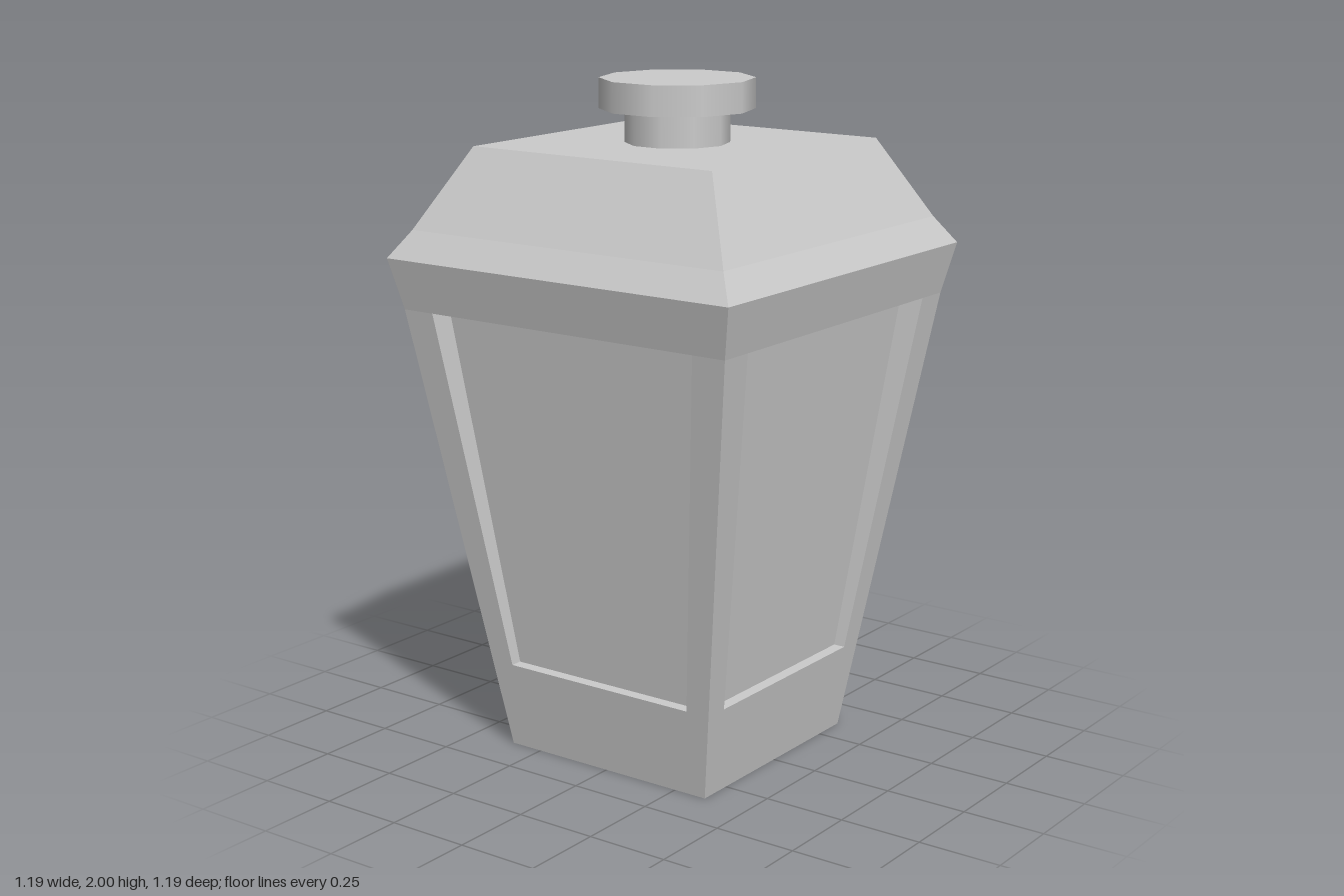
import * as THREE from 'three';

const material = new THREE.MeshStandardMaterial({ color: 0xcccccc, flatShading: true });
const smooth = new THREE.MeshStandardMaterial({ color: 0xcccccc });

// Flat-shaded mesh from four-cornered faces, corners counter-clockwise from outside
function quadMesh(name, quads) {
  const points = quads.flatMap(([a, b, c, d]) => [a, b, c, a, c, d]);
  const geometry = new THREE.BufferGeometry();
  geometry.setAttribute('position', new THREE.Float32BufferAttribute(points.flat(), 3));
  geometry.computeVertexNormals();
  const mesh = new THREE.Mesh(geometry, material);
  mesh.name = name;
  return mesh;
}

// Trapezoid corners: bottom left, bottom right, top right, top left
const trapezoid = ([w0, y0, z0], [w1, y1, z1]) =>
  [[-w0, y0, z0], [w0, y0, z0], [w1, y1, z1], [-w1, y1, z1]];

// Quad joining edge i of one loop to edge i of another
const bridge = (a, b, i) => [a[i], a[(i + 1) % 4], b[(i + 1) % 4], b[i]];

// Square levels of the body: half width, height
const foot = [0.355, 0], sill = [0.56, 1.35], eave = [0.593, 1.5], knee = [0.54, 1.58], crown = [0.414, 1.815];
const band = (lo, hi) => trapezoid([...lo, lo[0]], [...hi, hi[0]]);

function createSide() {
  const side = new THREE.Group();
  const face = band(foot, sill);
  const opening = trapezoid([0.32, 0.27, 0.396], [0.455, 1.35, 0.56]);
  const pane = trapezoid([0.32, 0.27, 0.36], [0.455, 1.35, 0.486]);
  side.add(
    quadMesh('frame', [...[0, 1, 3].map(i => bridge(face, opening, i)), band(sill, eave)]),
    quadMesh('windowReveal', [0, 1, 2, 3].map(i => bridge(opening, pane, i))),
    quadMesh('windowPane', [pane]),
    quadMesh('roofSlope', [band(eave, knee), band(knee, crown)]),
  );
  return side;
}

// Ten-sided disc with a corner on the x axis
function disc(name, radius, y0, y1) {
  const geometry = new THREE.CylinderGeometry(radius, radius, y1 - y0, 10);
  geometry.rotateY(Math.PI / 2);
  const mesh = new THREE.Mesh(geometry, smooth);
  mesh.position.y = (y0 + y1) / 2;
  mesh.name = name;
  return mesh;
}

export function createModel() {
  const model = new THREE.Group();
  model.name = 'lantern';

  // Four identical sides with recessed windows
  ['front', 'left', 'back', 'right'].forEach((name, i) => {
    const side = createSide();
    side.name = name + 'Side';
    side.rotation.y = i * Math.PI / 2;
    model.add(side);
  });

  // Flat base and roof top
  const [b] = foot, [t, h] = crown;
  model.add(
    quadMesh('base', [[[-b, 0, -b], [b, 0, -b], [b, 0, b], [-b, 0, b]]]),
    quadMesh('roofTop', [[[-t, h, t], [t, h, t], [t, h, -t], [-t, h, -t]]]),
  );

  // Neck and cap
  model.add(disc('neck', 0.152, 1.81, 1.912), disc('cap', 0.225, 1.912, 2));
  return model;
}
